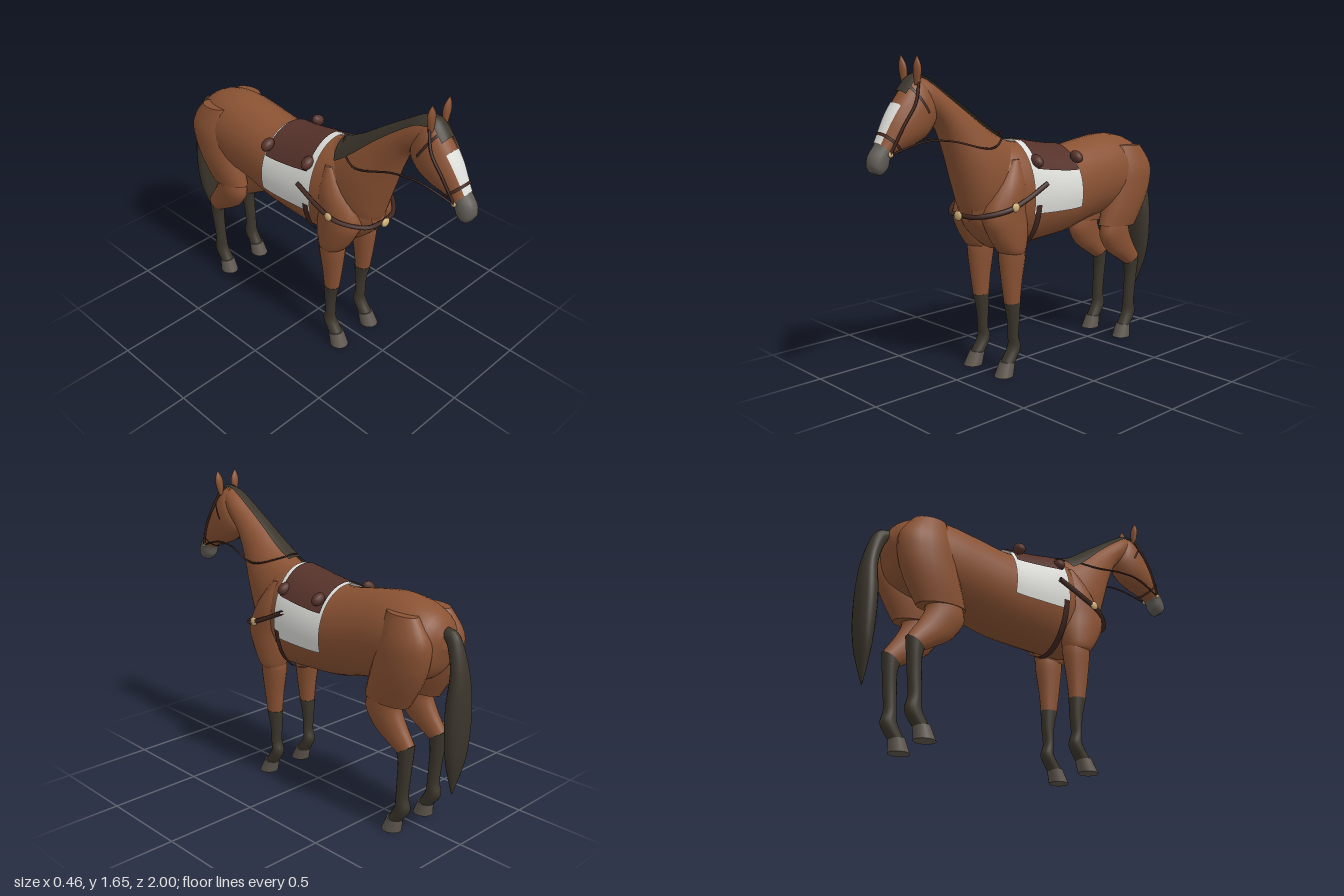
import * as THREE from 'three';

const mat = (name, color) => {
  const m = new THREE.MeshStandardMaterial({ color, side: THREE.DoubleSide });
  m.name = name;
  return m;
};
const coat = mat('chestnut coat', 0x8a5233);
const hair = mat('dark hair', 0x3b352b);
const hoofMat = mat('hoof grey', 0x5e564e);
const skin = mat('muzzle grey', 0x5f5b55);
const white = mat('white', 0xdcdcd8);
const leather = mat('saddle leather', 0x55322a);
const strapMat = mat('strap leather', 0x422821);
const gold = mat('gold', 0xd0b078);

// A section is [z1, y1, z2, y2, halfWidth, x]: an ellipse between two points in the side plane.
function sectionAt(S, t) {
  const i = Math.min(Math.floor(t), S.length - 2), f = t - i;
  const k = (j) => S[Math.max(0, Math.min(S.length - 1, j))];
  return [0, 1, 2, 3, 4, 5].map((c) => {
    const [a, b, d, e] = [k(i - 1)[c] ?? 0, k(i)[c] ?? 0, k(i + 1)[c] ?? 0, k(i + 2)[c] ?? 0];
    return b + 0.5 * f * (d - a + f * (2 * a - 5 * b + 4 * d - e + f * (3 * (b - d) + e - a)));
  });
}

// Skin over sections; t0..t1 and a0..a1 pick a patch, grow lifts it off the surface.
function loft(S, { t0 = 0, t1 = S.length - 1, a0, a1, grow = 0, seg = 18 } = {}) {
  const full = a0 === undefined;
  const rows = Math.max(2, Math.ceil((t1 - t0) * 4)), cols = full ? seg : seg + 1;
  const pos = [], idx = [], rings = [];
  for (let r = 0; r <= rows; r++) {
    const [z1, y1, z2, y2, w, x] = sectionAt(S, t0 + ((t1 - t0) * r) / rows);
    const dz = (z1 - z2) / 2, dy = (y1 - y2) / 2, len = Math.hypot(dz, dy) || 1e-6;
    const k = 1 + grow / len;
    rings.push({ c: new THREE.Vector3(x, (y1 + y2) / 2, (z1 + z2) / 2), d: new THREE.Vector3(0, dy, dz) });
    for (let s = 0; s < cols; s++) {
      const a = full ? (s / seg) * Math.PI * 2 : a0 + ((a1 - a0) * s) / seg;
      pos.push(x + (w + grow) * Math.sin(a), (y1 + y2) / 2 + dy * k * Math.cos(a), (z1 + z2) / 2 + dz * k * Math.cos(a));
    }
  }
  const normal = rings[0].d.clone().cross(new THREE.Vector3(1, 0, 0));
  const flip = normal.dot(rings[rows].c.clone().sub(rings[0].c)) < 0;
  const tri = (a, b, c) => (flip ? idx.push(a, c, b) : idx.push(a, b, c));
  for (let r = 0; r < rows; r++) {
    for (let s = 0; s < seg; s++) {
      const a = r * cols + s, b = r * cols + ((s + 1) % cols);
      tri(a, b, a + cols);
      tri(b, b + cols, a + cols);
    }
  }
  // End caps with their own vertices so the rim stays crisp
  if (full && !grow) {
    for (const r of [0, rows]) {
      const base = pos.length / 3;
      pos.push(...pos.slice(r * cols * 3, (r + 1) * cols * 3), rings[r].c.x, rings[r].c.y, rings[r].c.z);
      for (let s = 0; s < seg; s++) {
        const a = base + s, b = base + ((s + 1) % seg);
        r ? tri(a, b, base + seg) : tri(b, a, base + seg);
      }
    }
  }
  const g = new THREE.BufferGeometry();
  g.setAttribute('position', new THREE.Float32BufferAttribute(pos, 3));
  g.setIndex(idx);
  g.computeVertexNormals();
  return g;
}

const BODY = [
  [-0.865, 1.06, -0.865, 0.97, 0.05], [-0.82, 1.13, -0.82, 0.84, 0.14], [-0.72, 1.18, -0.72, 0.78, 0.185],
  [-0.58, 1.2, -0.58, 0.75, 0.195], [-0.4, 1.18, -0.4, 0.72, 0.195], [-0.22, 1.155, -0.22, 0.68, 0.2],
  [-0.05, 1.175, -0.05, 0.665, 0.2], [0.13, 1.21, 0.13, 0.655, 0.19], [0.26, 1.2, 0.26, 0.66, 0.165],
  [0.37, 1.1, 0.37, 0.74, 0.12], [0.43, 1.0, 0.43, 0.82, 0.06],
];
const NECK = [
  [0.1, 1.2, 0.25, 0.68, 0.14], [0.2, 1.235, 0.41, 0.82, 0.145], [0.3, 1.29, 0.47, 0.97, 0.132],
  [0.42, 1.375, 0.53, 1.15, 0.1], [0.55, 1.465, 0.58, 1.28, 0.08], [0.67, 1.545, 0.62, 1.34, 0.072],
  [0.74, 1.56, 0.66, 1.36, 0.06],
];
const HEAD = [
  [0.71, 1.565, 0.62, 1.38, 0.05], [0.755, 1.55, 0.625, 1.33, 0.078], [0.815, 1.485, 0.68, 1.27, 0.086],
  [0.88, 1.395, 0.76, 1.235, 0.08], [0.925, 1.31, 0.83, 1.215, 0.063], [0.95, 1.26, 0.885, 1.19, 0.054],
  [0.99, 1.21, 0.9, 1.14, 0.052], [1.0, 1.165, 0.93, 1.115, 0.046], [0.985, 1.13, 0.95, 1.112, 0.03],
];
const TAIL = [
  [-0.865, 1.08, -0.86, 1.02, 0.03], [-0.93, 1.05, -0.88, 0.98, 0.036], [-0.985, 0.88, -0.905, 0.87, 0.055],
  [-1.0, 0.68, -0.895, 0.68, 0.08], [-0.985, 0.45, -0.905, 0.45, 0.068], [-0.935, 0.25, -0.93, 0.25, 0.004],
];
// Limb sections, front point first
const SHOULDER = [
  [0.22, 1.13, 0.17, 1.13, 0.03, 0.11], [0.33, 1.0, 0.13, 1.0, 0.085, 0.105], [0.4, 0.86, 0.13, 0.86, 0.085, 0.115],
  [0.37, 0.76, 0.13, 0.75, 0.08, 0.122], [0.31, 0.67, 0.15, 0.66, 0.07, 0.125], [0.27, 0.645, 0.18, 0.645, 0.05, 0.125],
];
const FOREARM = [
  [0.29, 0.7, 0.16, 0.7, 0.062, 0.123], [0.3, 0.64, 0.145, 0.64, 0.064, 0.123], [0.285, 0.5, 0.165, 0.5, 0.05, 0.123],
  [0.268, 0.385, 0.177, 0.385, 0.04, 0.123],
];
const FORECANNON = [
  [0.27, 0.385, 0.175, 0.385, 0.041, 0.123], [0.247, 0.29, 0.18, 0.29, 0.034, 0.122], [0.24, 0.2, 0.188, 0.2, 0.032, 0.121],
  [0.243, 0.14, 0.172, 0.135, 0.036, 0.12], [0.29, 0.07, 0.215, 0.06, 0.038, 0.12],
];
const FOREHOOF = [[0.295, 0.075, 0.215, 0.062, 0.042, 0.12], [0.335, 0, 0.23, 0, 0.05, 0.123]];
const THIGH = [
  [-0.6, 1.14, -0.78, 1.13, 0.05, 0.12], [-0.56, 1, -0.855, 1.02, 0.09, 0.123], [-0.53, 0.88, -0.85, 0.9, 0.095, 0.123],
  [-0.495, 0.77, -0.81, 0.79, 0.088, 0.12], [-0.47, 0.69, -0.74, 0.67, 0.07, 0.118],
];
const GASKIN = [
  [-0.49, 0.7, -0.7, 0.71, 0.062, 0.12], [-0.48, 0.62, -0.69, 0.655, 0.064, 0.12], [-0.54, 0.53, -0.725, 0.58, 0.055, 0.12],
  [-0.63, 0.47, -0.76, 0.525, 0.046, 0.121], [-0.695, 0.43, -0.782, 0.49, 0.04, 0.122],
];
const HINDCANNON = [
  [-0.69, 0.435, -0.785, 0.49, 0.042, 0.122], [-0.7, 0.38, -0.776, 0.41, 0.038, 0.122], [-0.695, 0.3, -0.765, 0.3, 0.033, 0.122],
  [-0.69, 0.2, -0.755, 0.2, 0.033, 0.121], [-0.682, 0.14, -0.768, 0.13, 0.036, 0.12], [-0.645, 0.07, -0.72, 0.06, 0.038, 0.12],
];
const HINDHOOF = [[-0.64, 0.075, -0.72, 0.062, 0.042, 0.12], [-0.605, 0, -0.715, 0, 0.05, 0.123]];
const EAR = [
  [0.76, 1.52, 0.735, 1.52, 0.012, 0.05], [0.768, 1.6, 0.735, 1.6, 0.025, 0.056], [0.758, 1.655, 0.754, 1.655, 0.001, 0.062],
];

export function createModel() {
  const group = new THREE.Group();
  const add = (name, geo, m) => {
    const mesh = new THREE.Mesh(geo, m);
    mesh.name = name;
    group.add(mesh);
    return mesh;
  };
  const tube = (name, pts, radius, m = strapMat) => {
    const curve = new THREE.CatmullRomCurve3(pts.map((p) => new THREE.Vector3(...p)));
    return add(name, new THREE.TubeGeometry(curve, 32, radius, 6), m);
  };
  const ball = (name, p, s, m) => {
    const mesh = add(name, new THREE.SphereGeometry(1, 12, 8), m);
    mesh.position.set(...p);
    mesh.scale.set(...s);
    return mesh;
  };

  // Horse
  add('body', loft(BODY, { seg: 28 }), coat);
  add('neck', loft(NECK, { seg: 24 }), coat);
  add('head', loft(HEAD, { t1: 5 }), coat);
  add('muzzle', loft(HEAD, { t0: 5 }), skin);
  add('blaze', loft(HEAD, { t0: 2.5, t1: 5, a0: -0.55, a1: 0.55, grow: 0.004, seg: 8 }), white);
  add('mane', loft(NECK, { t0: 0.9, t1: 6, a0: -0.85, a1: 0.25, grow: 0.014, seg: 10 }), hair);
  add('forelock', loft(HEAD, { t0: 0, t1: 2, a0: -0.5, a1: 0.5, grow: 0.012, seg: 8 }), hair);
  add('tail', loft(TAIL), hair);

  // Saddle, cloth and girth
  add('saddleCloth', loft(BODY, { t0: 5, t1: 7, a0: -1.87, a1: 1.87, grow: 0.012, seg: 28 }), white);
  add('saddle', loft(BODY, { t0: 5.08, t1: 6.8, a0: -1.05, a1: 1.05, grow: 0.02, seg: 20 }), leather);
  add('girth', loft(BODY, { t0: 6.74, t1: 6.96, a0: 1.7, a1: Math.PI * 2 - 1.7, grow: 0.016, seg: 24 }), strapMat);

  // Bridle bands
  add('noseband', loft(HEAD, { t0: 4.05, t1: 4.3, grow: 0.008 }), strapMat);
  add('browband', loft(HEAD, { t0: 1.5, t1: 1.65, a0: -1.7, a1: 1.7, grow: 0.008 }), strapMat);
  ball('breastMedallion', [0, 0.86, 0.475], [0.028, 0.025, 0.012], gold);

  for (const s of [1, -1]) {
    const side = s > 0 ? 'left' : 'right';
    const limb = (name, S, m) => add(side + name, loft(S.map((q) => [...q.slice(0, 5), q[5] * s])), m);
    limb('Shoulder', SHOULDER, coat);
    limb('Forearm', FOREARM, coat);
    limb('ForeCannon', FORECANNON, hair);
    limb('ForeHoof', FOREHOOF, hoofMat);
    limb('Thigh', THIGH, coat);
    limb('Gaskin', GASKIN, coat);
    limb('HindCannon', HINDCANNON, hair);
    limb('HindHoof', HINDHOOF, hoofMat);
    limb('Ear', EAR, coat);

    // Saddle rolls
    for (const [x, z] of [[0.165, 0.085], [0.185, -0.19]]) {
      const roll = ball(side + 'SaddleRoll', [s * x, 1.115, z], [0.042, 0.03, 0.03], leather);
      roll.rotation.z = -0.5 * s;
    }
    // Breast strap with its medallion
    tube(side + 'BreastStrap', [[0, 0.86, 0.462], [s * 0.1, 0.86, 0.44], [s * 0.2, 0.89, 0.32],
      [s * 0.215, 0.935, 0.2], [s * 0.212, 1, 0.055]], 0.013);
    ball(side + 'Medallion', [s * 0.216, 0.905, 0.28], [0.012, 0.024, 0.024], gold);

    // Cheek strap, bit and rein
    tube(side + 'CheekStrap', [[s * 0.055, 1.55, 0.74], [s * 0.085, 1.44, 0.785], [s * 0.08, 1.34, 0.85],
      [s * 0.058, 1.21, 0.915]], 0.007);
    ball(side + 'Bit', [s * 0.057, 1.21, 0.912], [0.008, 0.014, 0.014], gold);
    tube(side + 'Rein', [[s * 0.058, 1.21, 0.91], [s * 0.085, 1.258, 0.73], [s * 0.1, 1.25, 0.59],
      [s * 0.135, 1.2, 0.37], [s * 0.07, 1.235, 0.24], [0, 1.26, 0.19]], 0.005);
  }
  return group;
}
